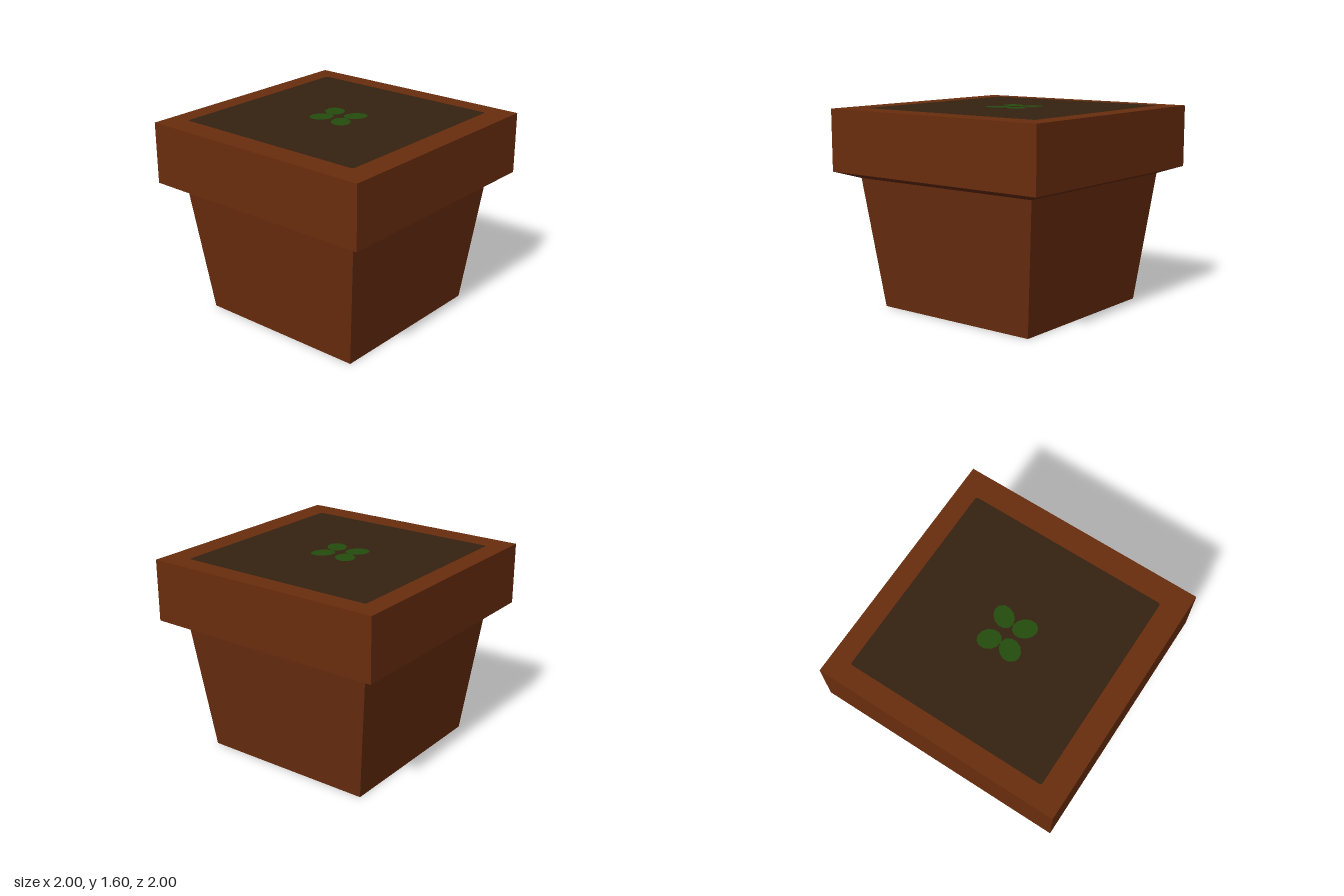
import * as THREE from 'three';

const clay = new THREE.MeshStandardMaterial({ color: 0x6a2d0e });
clay.name = 'terracotta';
const earth = new THREE.MeshStandardMaterial({ color: 0x352210 });
earth.name = 'soil brown';
const green = new THREE.MeshStandardMaterial({ color: 0x244d0e });
green.name = 'leaf green';

// Square ring surface from [half width, height] pairs, listed bottom to top
function squareLathe(name, profile) {
  const points = profile.map(([w, y]) => new THREE.Vector2(w * Math.SQRT2, y));
  const geometry = new THREE.LatheGeometry(points, 4, Math.PI / 4).toNonIndexed();
  geometry.computeVertexNormals();
  const mesh = new THREE.Mesh(geometry, clay);
  mesh.name = name;
  return mesh;
}

// Flat shape lying face up at height y
function plate(name, shape, y, material) {
  const geometry = new THREE.ShapeGeometry(shape, 6).rotateX(-Math.PI / 2);
  const mesh = new THREE.Mesh(geometry, material);
  mesh.name = name;
  mesh.position.y = y;
  return mesh;
}

function roundedSquare(min, max, r) {
  const s = new THREE.Shape();
  s.absarc(max - r, max - r, r, 0, Math.PI / 2);
  s.absarc(min + r, max - r, r, Math.PI / 2, Math.PI);
  s.absarc(min + r, min + r, r, Math.PI, Math.PI * 1.5);
  s.absarc(max - r, min + r, r, Math.PI * 1.5, Math.PI * 2);
  s.closePath();
  return s;
}

export function createModel() {
  const pot = new THREE.Group();
  pot.name = 'plantPot';

  // Tapered body with closed base
  pot.add(squareLathe('body', [[0, 0], [0.72, 0], [0.843, 1.05]]));

  // Thick rim with sloping underside and closed top
  pot.add(squareLathe('rim', [[0.843, 1.05], [1, 1.105], [1, 1.6], [0, 1.6]]));

  // Soil patch, slightly off centre
  const soil = plate('soil', roundedSquare(-0.8225, 0.8225, 0.02), 1.602, earth);
  soil.position.x = -0.0175;
  soil.position.z = -0.0175;
  pot.add(soil);

  // Four sprout leaves: x, z, long radius, short radius, angle
  const leaves = [
    [-0.125, -0.105, 0.094, 0.079, -0.85],
    [0.083, -0.11, 0.097, 0.076, 0.95],
    [-0.115, 0.07, 0.096, 0.08, 0.9],
    [0.085, 0.073, 0.098, 0.077, -0.9],
  ];
  leaves.forEach(([x, z, a, b, angle], i) => {
    const shape = new THREE.Shape().absellipse(x, -z, a, b, 0, Math.PI * 2, false, angle);
    pot.add(plate('leaf' + (i + 1), shape, 1.604, green));
  });

  return pot;
}
